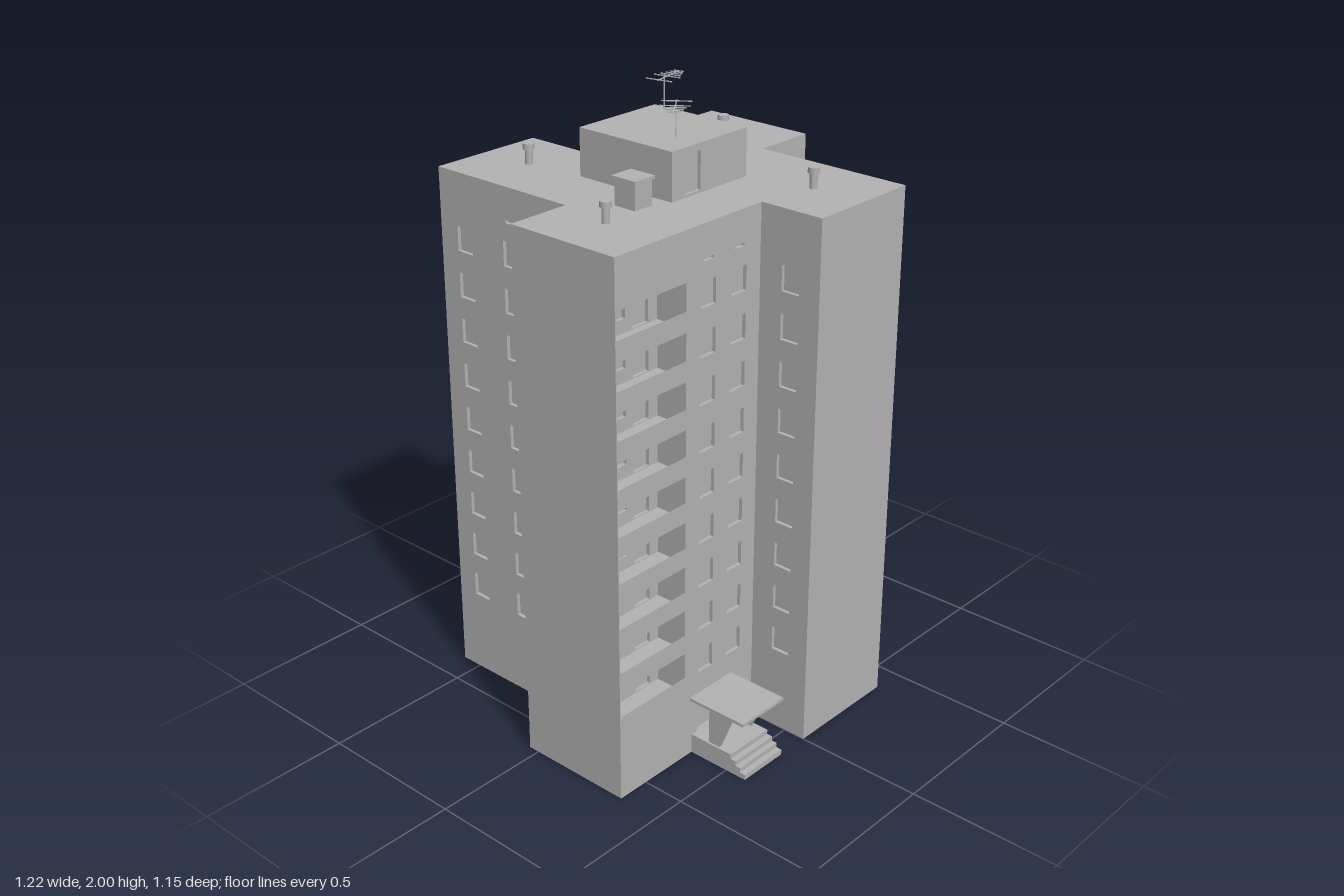
import * as THREE from 'three';
import { mergeGeometries } from 'three/addons/utils/BufferGeometryUtils.js';

const H = 1.74, FLOORS = 9, PITCH = 0.151, OPEN_FLOOR = 4;
const concrete = new THREE.MeshStandardMaterial({ color: 0xb2b2b2, side: THREE.DoubleSide });
concrete.name = 'concrete grey';

function mesh(name, geo, parent) {
  const m = new THREE.Mesh(geo, concrete);
  m.name = name;
  parent.add(m);
  return m;
}

function box(w, h, d, x, y, z) {
  return new THREE.BoxGeometry(w, h, d).translate(x, y, z);
}

// Box open at the front, and optionally at the back, lining an opening
function recess(o, depth, hasBack) {
  const g = box(o.w, o.h, depth, o.x, o.y, -depth / 2);
  const index = Array.from(g.index.array);
  g.setIndex(index.slice(0, 24).concat(hasBack ? index.slice(30) : []));
  return g;
}

// Flat wall in the xy plane with rectangular openings
function facade(x0, x1, y0, y1, openings) {
  const rect = (C, a, b, c, d) => new C([[a, c], [b, c], [b, d], [a, d]].map(p => new THREE.Vector2(...p)));
  const shape = rect(THREE.Shape, x0, x1, y0, y1);
  for (const o of openings)
    shape.holes.push(rect(THREE.Path, o.x - o.w / 2, o.x + o.w / 2, o.y - o.h / 2, o.y + o.h / 2));
  return new THREE.ShapeGeometry(shape);
}

// Recessed panes; open ones keep only the casement frame
function panes(openings) {
  return openings.flatMap(o => {
    const parts = [recess(o, 0.012, !o.open)];
    if (o.open) {
      for (const s of [-0.45, 0.08, 0.45]) parts.push(box(0.005, o.h, 0.005, o.x + s * o.w, o.y, -0.009));
      for (const s of [-0.47, 0.47]) parts.push(box(o.w, 0.005, 0.005, o.x, o.y + s * o.h, -0.009));
    }
    return parts;
  });
}

function windowColumn(x, opened) {
  return Array.from({ length: FLOORS }, (_, i) =>
    ({ x, y: 0.32 + i * PITCH, w: 0.065, h: 0.08, open: opened && i === OPEN_FLOOR }));
}

const slit = x => ({ x, y: 1.632, w: 0.042, h: 0.01 });

function wall(name, x0, x1, openings, position, turn, parent) {
  const g = new THREE.Group();
  g.name = name;
  g.position.set(...position);
  g.rotation.y = turn;
  parent.add(g);
  mesh(name + 'Surface', facade(x0, x1, 0, H, openings), g);
  const recessed = openings.filter(o => !o.loggia);
  if (recessed.length) mesh(name + 'Windows', mergeGeometries(panes(recessed)), g);
  return g;
}

// Recessed balconies with a window and a door in the rear wall
function loggias(openings, opened, parent) {
  const parts = [], depth = 0.11;
  openings.forEach((o, i) => {
    const top = o.y + o.h / 2, bottom = top - 0.138;
    const room = { x: o.x, y: (top + bottom) / 2, w: o.w, h: top - bottom };
    parts.push(recess(room, depth, false));
    const open = opened && i === OPEN_FLOOR;
    const holes = [
      { x: -0.515, y: top - 0.055, w: 0.12, h: 0.08, open },
      { x: -0.392, y: top - 0.075, w: 0.065, h: 0.12, open },
    ];
    const rear = [facade(o.x - o.w / 2, o.x + o.w / 2, bottom, top, holes), ...panes(holes)];
    rear.forEach(g => parts.push(g.translate(0, 0, -depth)));
  });
  mesh('loggias', mergeGeometries(parts), parent);
}

function entrance(parent) {
  const g = new THREE.Group();
  g.name = 'entrance';
  g.position.set(-0.2, 0, 0.355);
  parent.add(g);
  // Extrude a side profile (distance from wall, height) across x
  const side = (points, x, width) =>
    new THREE.ExtrudeGeometry(new THREE.Shape(points.map(p => new THREE.Vector2(...p))),
      { depth: width, bevelEnabled: false }).rotateY(-Math.PI / 2).translate(x + width / 2, 0, 0);
  mesh('steps', side([[0, 0], [0.22, 0], [0.22, 0.018], [0.2, 0.018], [0.2, 0.034], [0.182, 0.034],
    [0.182, 0.05], [0.162, 0.05], [0.162, 0.066], [0, 0.066]], 0, 0.178), g);
  for (const s of [-1, 1])
    mesh('canopySupport', side([[0.068, 0.066], [0.11, 0.066], [0.162, 0.197], [0.068, 0.197]], s * 0.076, 0.012), g);
  mesh('canopy', box(0.195, 0.01, 0.215, 0, 0.2, 0.1075), g);
}

// Half of the tower; the other half is the same turned around
function halfTower(second) {
  const g = new THREE.Group();
  g.name = second ? 'backHalf' : 'frontHalf';
  const balconies = Array.from({ length: FLOORS }, (_, i) =>
    ({ x: -0.4645, y: 0.334 + i * PITCH, w: 0.285, h: 0.086, loggia: true }));
  const door = { x: -0.205, y: 0.124, w: 0.11, h: 0.114 };
  const main = wall('entranceWall', -0.61, 0,
    [...balconies, ...windowColumn(-0.228, second), ...windowColumn(-0.095, second),
      slit(-0.228), slit(-0.095), door], [0, 0, 0.357], 0, g);
  loggias(balconies, second, main);
  wall('innerReturnWall', 0.357, 0.575, windowColumn(0.47, second), [0, 0, 0], -Math.PI / 2, g);
  wall('plainEndWall', 0, 0.396, [], [0, 0, 0.575], 0, g);
  wall('longSideWall', -0.575, -0.037,
    [...[-0.47, -0.27, -0.138].flatMap(x => windowColumn(x, false)), slit(-0.27), slit(-0.138)],
    [0.396, 0, 0], Math.PI / 2, g);
  wall('shortFrontWall', 0.396, 0.61, windowColumn(0.498, !second), [0, 0, 0.037], 0, g);
  wall('plainSideWall', -0.037, 0.357, [], [0.61, 0, 0], Math.PI / 2, g);
  entrance(g);

  // Roof ventilation pipes and shaft
  for (const [x, z] of [[-0.428, 0.153], [0.195, 0.391]]) {
    mesh('ventPipe', new THREE.CylinderGeometry(0.012, 0.012, 0.05, 16).translate(x, H + 0.025, z), g);
    mesh('ventPipeCap', new THREE.CylinderGeometry(0.018, 0.018, 0.018, 16).translate(x, H + 0.056, z), g);
  }
  mesh('ventShaft', box(0.07, 0.08, 0.08, -0.269, H + 0.04, 0.108), g);
  mesh('ventShaftCap', box(0.082, 0.01, 0.092, -0.269, H + 0.084, 0.108), g);
  if (second) g.rotation.y = Math.PI;
  return g;
}

function penthouse(parent) {
  const g = new THREE.Group();
  g.name = 'penthouse';
  g.position.set(-0.015, H, -0.008);
  parent.add(g);
  const w = 0.164, d = 0.182, h = 0.15;
  const door = [{ x: -0.075, y: 0.068, w: 0.07, h: 0.12 }];
  for (const turn of [0, Math.PI]) {
    const half = new THREE.Group();
    half.name = 'penthouseHalf';
    half.rotation.y = turn;
    g.add(half);
    mesh('doorWall', facade(-w, w, 0, h, door).translate(0, 0, d), half);
    mesh('roofDoor', panes(door)[0].translate(0, 0, d), half);
    mesh('sideWall', new THREE.PlaneGeometry(2 * d, h).rotateY(Math.PI / 2).translate(w, h / 2, 0), half);
  }
  mesh('penthouseRoof', new THREE.PlaneGeometry(2 * w, 2 * d).rotateX(-Math.PI / 2).translate(0, h, 0), g);
}

// Mast with a boom along local x and crossing rods
function antenna(x, z, turn, parent) {
  const g = new THREE.Group();
  g.name = 'antenna';
  g.position.set(x, 1.89, z);
  g.rotation.y = turn;
  parent.add(g);
  const t = 0.003;
  mesh('mast', box(t, 0.11, t, 0, 0.055, 0), g);
  mesh('boom', box(0.135, t, t, 0.025, 0.097, 0), g);
  [[-0.033, 0.09], [0.018, 0.09], [0.038, 0.07], [0.056, 0.055], [0.073, 0.045], [0.088, 0.035]].forEach(([u, len]) =>
    mesh('rod', box(t, t, len, u, 0.097, 0), g));
}

export function createModel() {
  const model = new THREE.Group();
  model.name = 'apartmentTower';
  model.add(halfTower(false), halfTower(true));

  // Flat roof over the pinwheel footprint
  const half = [[-0.61, 0.357], [0, 0.357], [0, 0.575], [0.396, 0.575], [0.396, 0.037], [0.61, 0.037]];
  const outline = [...half, ...half.map(([x, z]) => [-x, -z])];
  const roof = new THREE.Shape(outline.map(([x, z]) => new THREE.Vector2(x, -z)));
  mesh('roof', new THREE.ShapeGeometry(roof).rotateX(-Math.PI / 2).translate(0, H, 0), model);

  penthouse(model);
  antenna(-0.063, 0.085, Math.PI + 0.65, model);
  antenna(0.13, -0.134, 0.22, model);
  return model;
}
